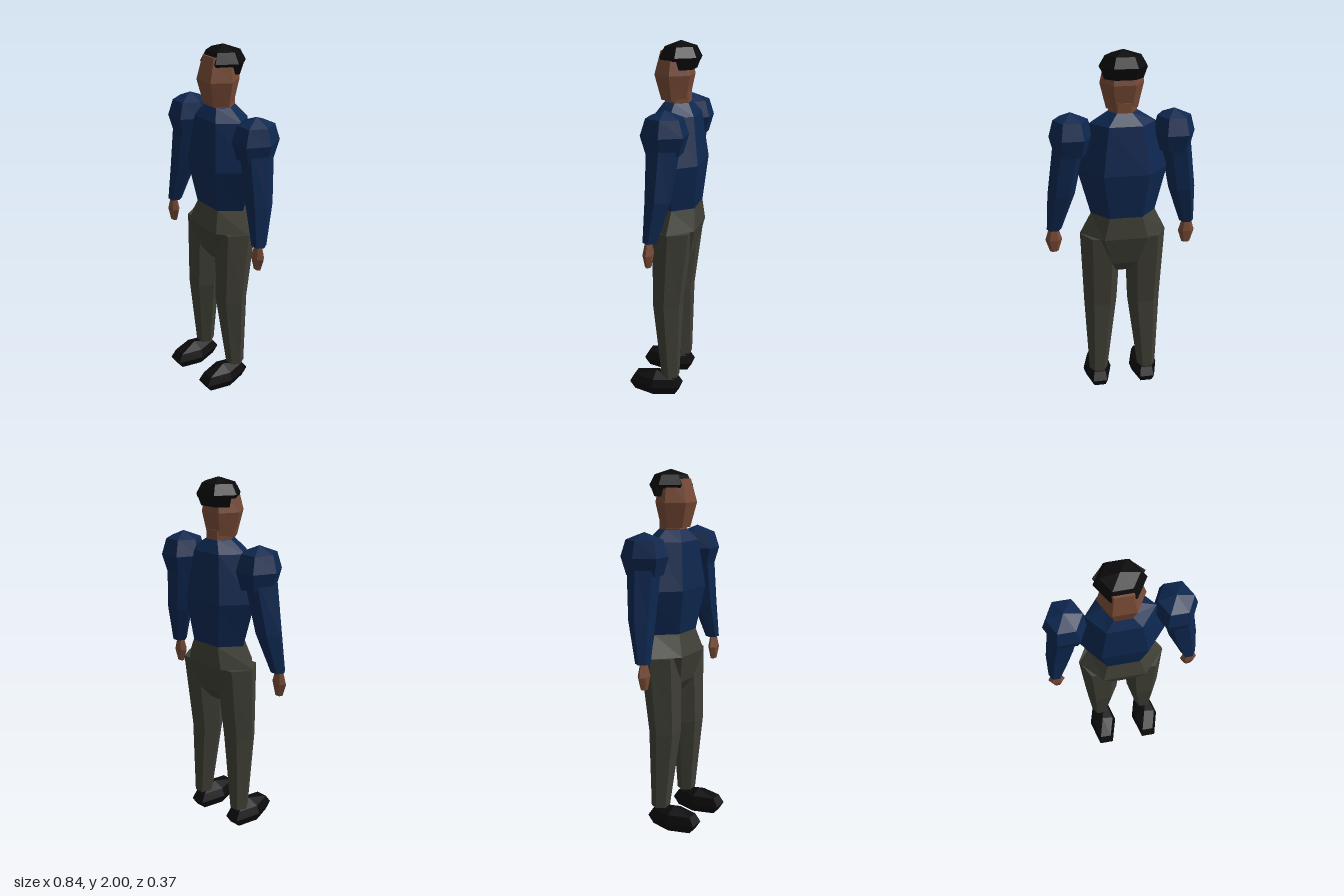
import * as THREE from 'three';

// Six-sided loft through rings listed top to bottom: [y, centreX, centreZ, radiusX, halfDepth]
function loft(rings) {
  const pos = [];
  const loops = rings.map(([y, cx, cz, rx, hz]) =>
    Array.from({ length: 6 }, (_, i) => {
      const a = (i * Math.PI) / 3;
      return [cx + rx * Math.cos(a), y, cz + (hz * Math.sin(a)) / Math.sin(Math.PI / 3)];
    }));
  const tri = (...p) => p.forEach((v) => pos.push(...v));
  const centre = ([y, cx, cz]) => [cx, y, cz];
  const last = rings.length - 1;
  for (let i = 0; i < 6; i++) {
    const j = (i + 1) % 6;
    for (let k = 0; k < last; k++) {
      const t = loops[k], b = loops[k + 1];
      if (rings[k][3] > 0) tri(t[i], t[j], b[i]);
      if (rings[k + 1][3] > 0) tri(t[j], b[j], b[i]);
    }
    // end caps
    if (rings[0][3] > 0) tri(centre(rings[0]), loops[0][j], loops[0][i]);
    if (rings[last][3] > 0) tri(centre(rings[last]), loops[last][i], loops[last][j]);
  }
  const geo = new THREE.BufferGeometry();
  geo.setAttribute('position', new THREE.Float32BufferAttribute(pos, 3));
  geo.computeVertexNormals(); // unshared corners give faceted shading
  return geo;
}

export function createModel() {
  const model = new THREE.Group();
  model.name = 'figure';

  const material = (name, color) => {
    const m = new THREE.MeshStandardMaterial({ color });
    m.name = name;
    return m;
  };
  const navy = material('navy shirt', 0x0d274f);
  const olive = material('olive trousers', 0x3f3f36);
  const skin = material('brown skin', 0x774a35);
  const black = material('black', 0x0a0a0a);

  const add = (name, mat, rings) => {
    const mesh = new THREE.Mesh(loft(rings), mat);
    mesh.name = name;
    model.add(mesh);
  };

  // Trunk
  add('torso', navy, [
    [1.69, 0, -0.05, 0.08, 0.065],
    [1.63, 0, -0.05, 0.175, 0.105],
    [1.38, 0, -0.053, 0.24, 0.135],
    [1.14, 0, -0.062, 0.175, 0.103],
  ]);
  add('pelvis', olive, [
    [1.14, 0, -0.062, 0.175, 0.103],
    [1.02, 0, -0.05, 0.235, 0.125],
    [0.86, 0, -0.05, 0.14, 0.085],
    [0.80, 0, -0.05, 0.07, 0.045],
  ]);

  // Head
  add('neck', skin, [
    [1.74, 0, -0.05, 0.075, 0.063],
    [1.665, 0, -0.05, 0.075, 0.063],
  ]);
  add('head', skin, [
    [1.95, 0, -0.035, 0.088, 0.068],
    [1.83, 0, -0.031, 0.115, 0.094],
    [1.70, 0, -0.035, 0.083, 0.066],
  ]);
  add('hair', black, [
    [2.0, 0, -0.062, 0, 0],
    [1.972, 0, -0.062, 0.092, 0.073],
    [1.92, 0, -0.062, 0.123, 0.097],
    [1.903, 0, -0.062, 0.114, 0.092],
  ]);
  add('backHair', black, [
    [1.92, 0, -0.094, 0.12, 0.063],
    [1.86, 0, -0.088, 0.1, 0.048],
  ]);

  // Limbs, mirrored
  for (const [side, s] of [['left', 1], ['right', -1]]) {
    add(side + 'Shoulder', navy, [
      [1.693, s * 0.27, -0.055, 0, 0],
      [1.655, s * 0.27, -0.055, 0.09, 0.085],
      [1.57, s * 0.27, -0.055, 0.113, 0.11],
      [1.475, s * 0.27, -0.055, 0.088, 0.085],
    ]);
    add(side + 'Arm', navy, [
      [1.56, s * 0.275, -0.055, 0.085, 0.08],
      [1.25, s * 0.327, -0.038, 0.073, 0.06],
      [1.035, s * 0.37, -0.007, 0.04, 0.034],
    ]);
    add(side + 'Hand', skin, [
      [1.04, s * 0.373, 0, 0.025, 0.014],
      [0.97, s * 0.373, 0.002, 0.046, 0.024],
      [0.90, s * 0.373, 0.002, 0.024, 0.014],
    ]);
    add(side + 'Leg', olive, [
      [1.02, s * 0.122, -0.057, 0.113, 0.098],
      [0.59, s * 0.124, -0.03, 0.093, 0.075],
      [0.14, s * 0.143, -0.05, 0.053, 0.045],
    ]);
    add(side + 'Shoe', black, [
      [0.152, s * 0.14, 0.037, 0, 0],
      [0.124, s * 0.14, 0.037, 0.066, 0.119],
      [0.078, s * 0.14, 0.037, 0.083, 0.148],
      [0.03, s * 0.14, 0.037, 0.066, 0.119],
      [0, s * 0.14, 0.037, 0, 0],
    ]);
  }
  return model;
}
